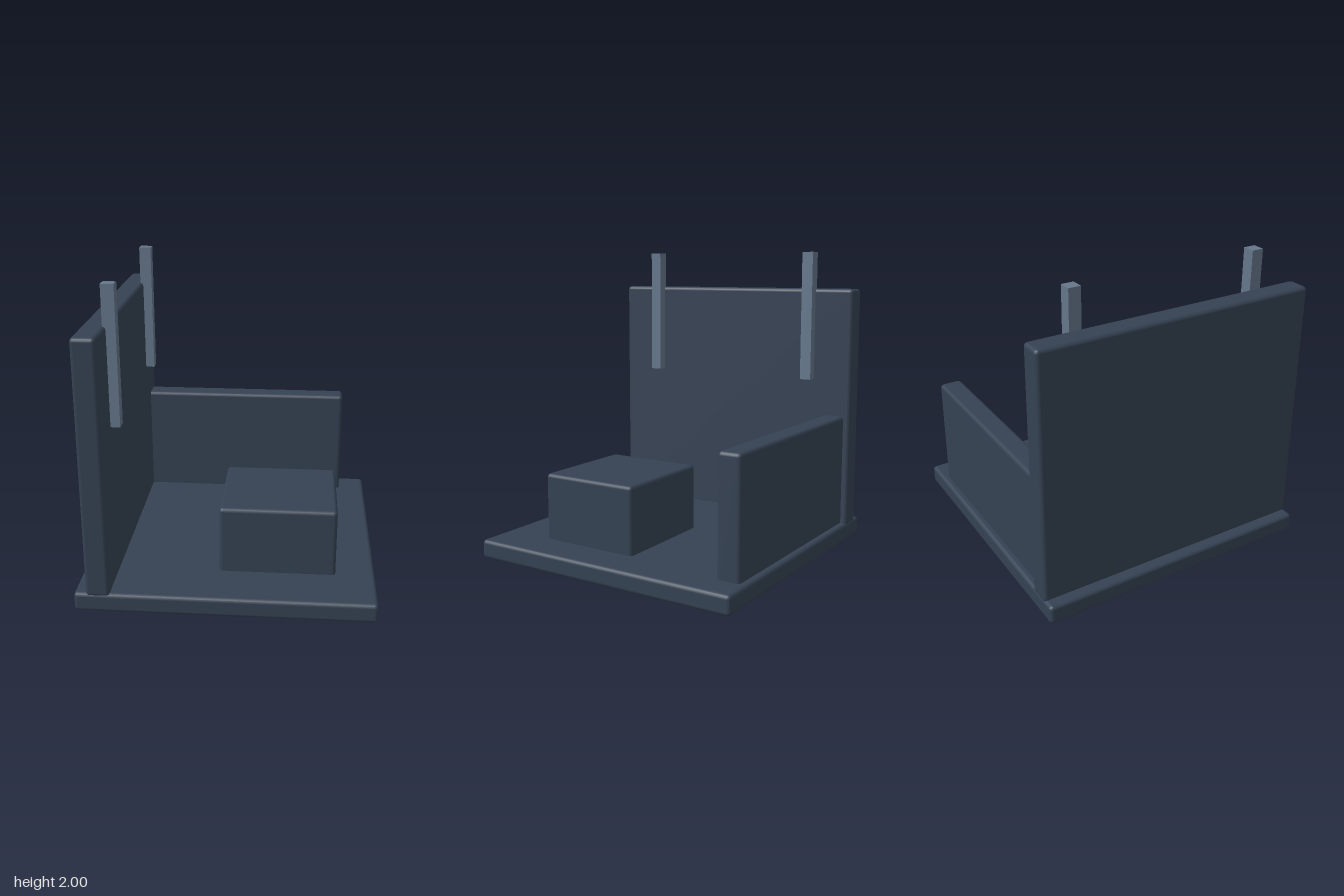
import * as THREE from 'three';
import { RoundedBoxGeometry } from 'three/addons/geometries/RoundedBoxGeometry.js';

export function createModel() {
  const model = new THREE.Group();
  model.name = 'walledPlatform';

  const slate = new THREE.MeshStandardMaterial({ color: 0x354253 });
  slate.name = 'darkSlate';
  const steel = new THREE.MeshStandardMaterial({ color: 0x64778b });
  steel.name = 'steelGrey';

  // Adds a box spanning min..max, with softened edges if bevel > 0
  function addBox(name, min, max, material, bevel = 0) {
    const size = max.map((v, i) => v - min[i]);
    const geometry = bevel > 0
      ? new RoundedBoxGeometry(...size, 2, bevel)
      : new THREE.BoxGeometry(...size);
    const mesh = new THREE.Mesh(geometry, material);
    mesh.name = name;
    mesh.position.set(...max.map((v, i) => (v + min[i]) / 2));
    model.add(mesh);
  }

  const bevel = 0.025;

  // Floor slab and the two walls standing on it
  addBox('floor', [-0.935, 0, -0.935], [0.935, 0.125, 0.935], slate, bevel);
  addBox('tallSideWall', [-0.86, 0.105, -0.935], [-0.71, 1.75, 0.935], slate, bevel);
  addBox('lowBackWall', [-0.75, 0.1, -0.89], [0.745, 0.877, -0.737], slate, bevel);

  // Block on the floor
  addBox('block', [-0.063, 0.1, -0.093], [0.682, 0.565, 0.59], slate, bevel);

  // Pair of posts set into the tall wall
  for (const [name, z] of [['rearPost', -0.625], ['frontPost', 0.625]]) {
    addBox(name, [-0.73, 1.125, z - 0.039], [-0.65, 2, z + 0.039], steel);
  }

  return model;
}
